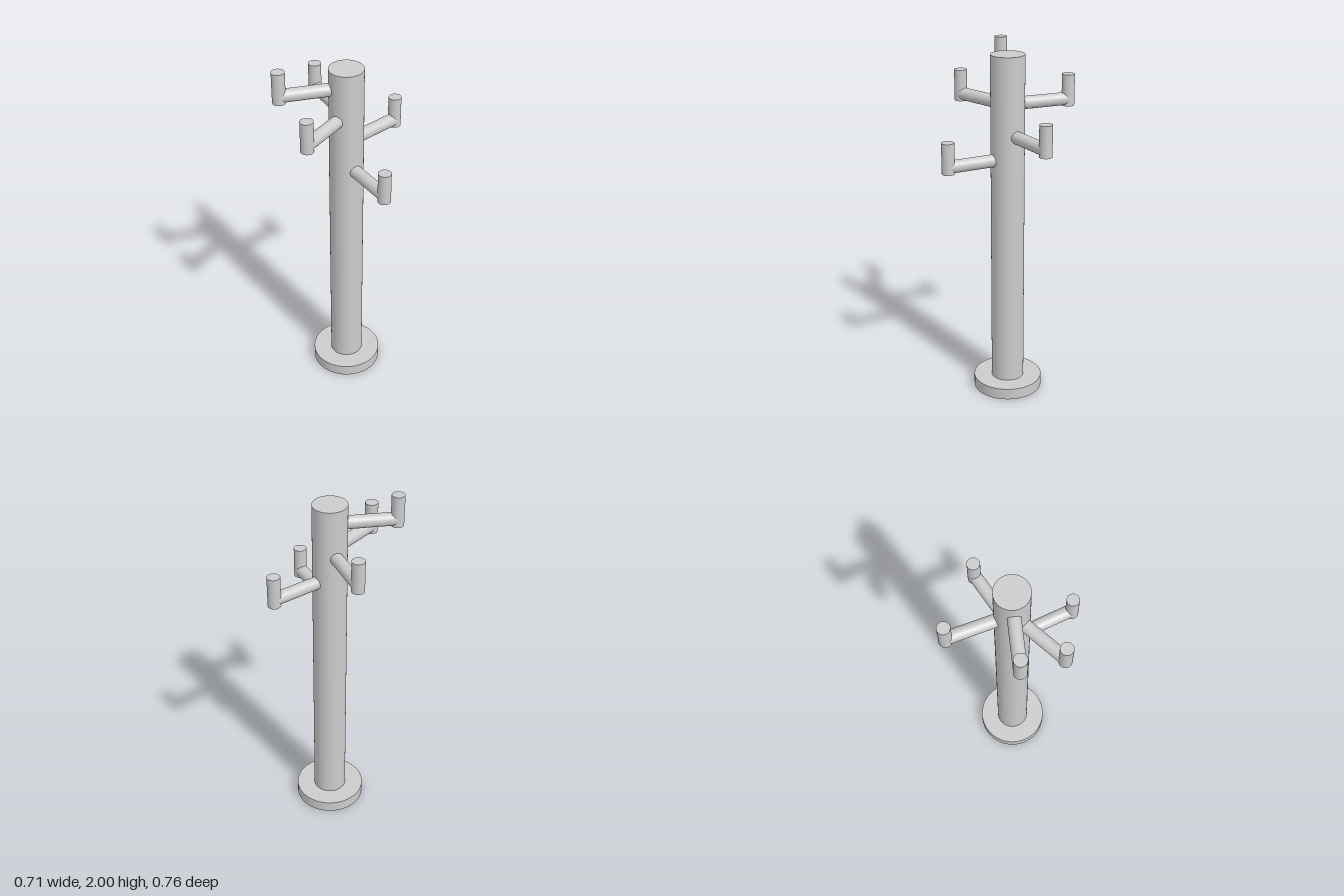
import * as THREE from 'three';

const material = new THREE.MeshStandardMaterial({ color: 0xcccccc });

function cylinder(name, radius, height, segments) {
  const mesh = new THREE.Mesh(new THREE.CylinderGeometry(radius, radius, height, segments), material);
  mesh.name = name;
  return mesh;
}

// Horizontal arm leaving the pole axis, ending in an upright peg
function createHook(x, y, z) {
  const radius = 0.035, pegHeight = 0.173;
  const reach = Math.hypot(x, z);
  const hook = new THREE.Group();
  hook.name = 'hook';

  const arm = cylinder('hookArm', radius, reach, 48);
  arm.rotation.z = -Math.PI / 2;
  arm.position.x = reach / 2;

  const peg = cylinder('hookPeg', radius, pegHeight, 48);
  peg.position.set(reach, pegHeight / 2 - radius - 0.002, 0);

  hook.add(arm, peg);
  hook.position.y = y;
  hook.rotation.y = Math.atan2(-z, x);
  return hook;
}

export function createModel() {
  const model = new THREE.Group();
  model.name = 'coatStand';

  // Round foot plate
  const baseHeight = 0.066;
  const base = cylinder('base', 0.196, baseHeight, 96);
  base.position.y = baseHeight / 2;

  // Main pole
  const top = 1.975;
  const pole = cylinder('pole', 0.093, top - baseHeight, 96);
  pole.position.y = (top + baseHeight) / 2;
  model.add(base, pole);

  // Hooks: peg offset from the pole axis and arm height
  const hooks = [
    [-0.234, 1.865, 0.261],
    [-0.313, 1.705, -0.161],
    [0, 1.705, 0.35],
    [0.087, 1.54, -0.341],
    [0.324, 1.4, 0.134],
  ];
  for (const [x, y, z] of hooks) model.add(createHook(x, y, z));

  // The uneven hooks shift the pole slightly off centre
  model.position.set(-0.007, 0, -0.006);
  return model;
}
